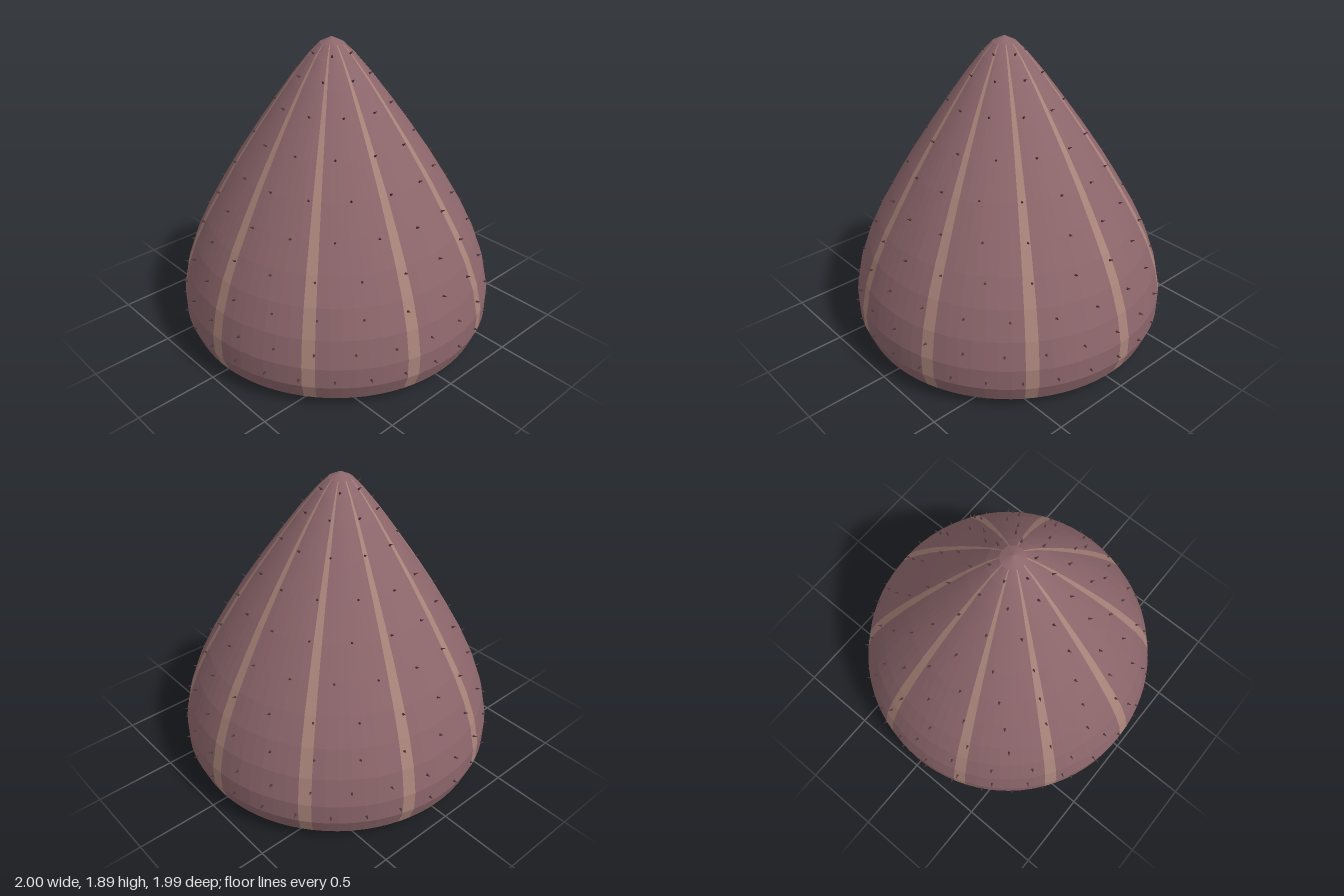
import * as THREE from 'three';

const SIDES = 80;
const HEIGHT = 1.9;

// Outline as [radius, height], from the underside to the tip
const PROFILE = [
  [0, 0], [0.83, 0.02], [0.93, 0.065], [0.97, 0.17], [0.972, 0.3], [0.937, 0.47],
  [0.875, 0.64], [0.797, 0.8], [0.7, 0.97], [0.598, 1.14], [0.473, 1.33],
  [0.355, 1.5], [0.24, 1.66], [0.137, 1.79], [0.07, 1.86], [0, 1.895],
];

// Spine rows as [height, count, phase in steps from the front]
const SPINE_ROWS = [
  [0.215, 30, 0.42], [0.385, 26, 0.4], [0.575, 22, 0], [0.765, 20, 0.2], [0.955, 18, -0.13],
  [1.145, 16, 0.5], [1.335, 13, 0.5], [1.525, 11, 0], [1.69, 8, -0.25], [1.81, 6, 0.3],
];

// Point on the shell; the tip leans slightly to -x
function shellPoint(r, y, a) {
  return new THREE.Vector3(r * Math.cos(a) - 0.035 * (y / HEIGHT) ** 2, y, -r * Math.sin(a));
}

// Shell faces for which keep(side, ring) is true
function shellGeometry(keep) {
  const pos = [];
  for (let j = 0; j < PROFILE.length - 1; j++) {
    const [r0, y0] = PROFILE[j], [r1, y1] = PROFILE[j + 1];
    for (let i = 0; i < SIDES; i++) {
      if (!keep(i, j)) continue;
      const a0 = (i / SIDES) * Math.PI * 2, a1 = ((i + 1) / SIDES) * Math.PI * 2;
      const a = shellPoint(r0, y0, a0), b = shellPoint(r0, y0, a1);
      const c = shellPoint(r1, y1, a1), d = shellPoint(r1, y1, a0);
      if (r0 > 0) pos.push(...a, ...b, ...c);
      if (r1 > 0) pos.push(...a, ...c, ...d);
    }
  }
  const g = new THREE.BufferGeometry();
  g.setAttribute('position', new THREE.Float32BufferAttribute(pos, 3));
  g.computeVertexNormals();
  return g;
}

// Radius and outward slope of the outline at a height
function outlineAt(y) {
  const j = PROFILE.findIndex((p, k) => k > 0 && p[1] >= y);
  const [r0, y0] = PROFILE[j - 1], [r1, y1] = PROFILE[j];
  return { r: r0 + ((r1 - r0) * (y - y0)) / (y1 - y0), slope: (r0 - r1) / (y1 - y0) };
}

export function createModel() {
  const group = new THREE.Group();
  group.name = 'spinyShell';
  const material = (color) => new THREE.MeshStandardMaterial({ color, flatShading: true });
  const add = (geometry, mat, name, parent = group) => {
    const mesh = new THREE.Mesh(geometry, mat);
    mesh.name = name;
    parent.add(mesh);
    return mesh;
  };

  // Shell with ten pale stripes running from the rim to the tip
  const isStripe = (i, j) => i % 8 === 0 && j >= 2 && j < PROFILE.length - 2;
  add(shellGeometry((i, j) => !isStripe(i, j)), material(0x8c666b), 'shell');
  add(shellGeometry(isStripe), material(0xa88379), 'stripes');

  // Rows of tiny spines standing square to the surface
  const spines = new THREE.Group();
  spines.name = 'spines';
  group.add(spines);
  const cone = new THREE.ConeGeometry(0.009, 0.034, 5).translate(0, 0.011, 0);
  const dark = material(0x4a3638);
  const up = new THREE.Vector3(0, 1, 0);
  for (const [y, count, phase] of SPINE_ROWS) {
    const { r, slope } = outlineAt(y);
    for (let k = 0; k < count; k++) {
      const a = -Math.PI / 2 + ((k + phase) / count) * Math.PI * 2;
      const spine = add(cone, dark, 'spine', spines);
      spine.position.copy(shellPoint(r, y, a));
      const normal = new THREE.Vector3(Math.cos(a), slope, -Math.sin(a)).normalize();
      spine.quaternion.setFromUnitVectors(up, normal);
    }
  }
  return group;
}
